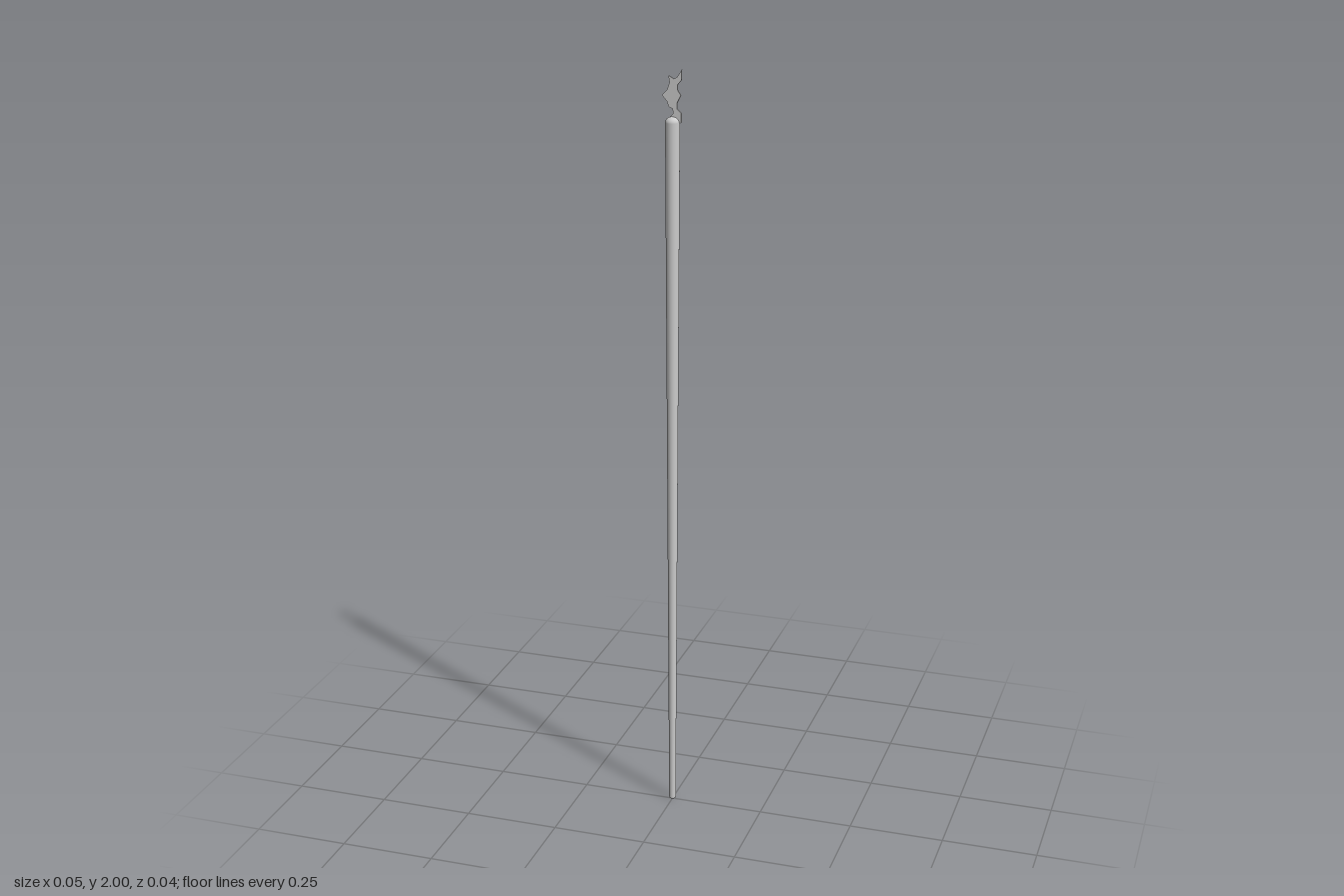
import * as THREE from 'three';

const material = () => new THREE.MeshStandardMaterial({ color: 0xcccccc, side: THREE.DoubleSide });

export function createModel() {
  const staff = new THREE.Group();
  staff.name = 'staff';

  // Long tapered shaft with a rounded foot and a domed head
  const footRadius = 0.009, headRadius = 0.0185, footRise = 0.007, domeBase = 1.869, domeHeight = 0.015;
  const profile = [];
  const steps = 8;
  for (let i = 0; i <= steps; i++) {
    const a = (i / steps) * Math.PI / 2;
    profile.push(new THREE.Vector2(footRadius * Math.sin(a), footRise * (1 - Math.cos(a))));
  }
  for (let i = 1; i < steps; i++) {
    const t = i / steps;
    profile.push(new THREE.Vector2(
      THREE.MathUtils.lerp(footRadius, headRadius, t),
      THREE.MathUtils.lerp(footRise, domeBase, t)));
  }
  for (let i = 0; i <= steps; i++) {
    const a = (i / steps) * Math.PI / 2;
    profile.push(new THREE.Vector2(headRadius * Math.cos(a), domeBase + domeHeight * Math.sin(a)));
  }
  const shaft = new THREE.Mesh(new THREE.LatheGeometry(profile, 32), material());
  shaft.name = 'shaft';
  staff.add(shaft);

  // Thin flat flame-like finial standing on the head
  const outline = [
    [0.024, 2.0], [0.013, 1.982], [0.004, 1.977], [-0.01, 1.984], [-0.007, 1.968],
    [-0.013, 1.95], [-0.027, 1.936], [-0.014, 1.921], [-0.009, 1.908], [0.001, 1.903],
    [0.002, 1.892], [-0.006, 1.883], [0, 1.868], [0.015, 1.866], [0.023, 1.87],
    [0.023, 1.893], [0.012, 1.903], [0.012, 1.918], [0.022, 1.937], [0.013, 1.95],
    [0.013, 1.962], [0.023, 1.974],
  ].map(([x, y]) => new THREE.Vector2(x, y));
  const thickness = 0.005;
  const geometry = new THREE.ExtrudeGeometry(new THREE.Shape(outline), { depth: thickness, bevelEnabled: false });
  geometry.translate(0, 0, -thickness / 2);
  const finial = new THREE.Mesh(geometry, material());
  finial.name = 'finial';
  staff.add(finial);

  return staff;
}
